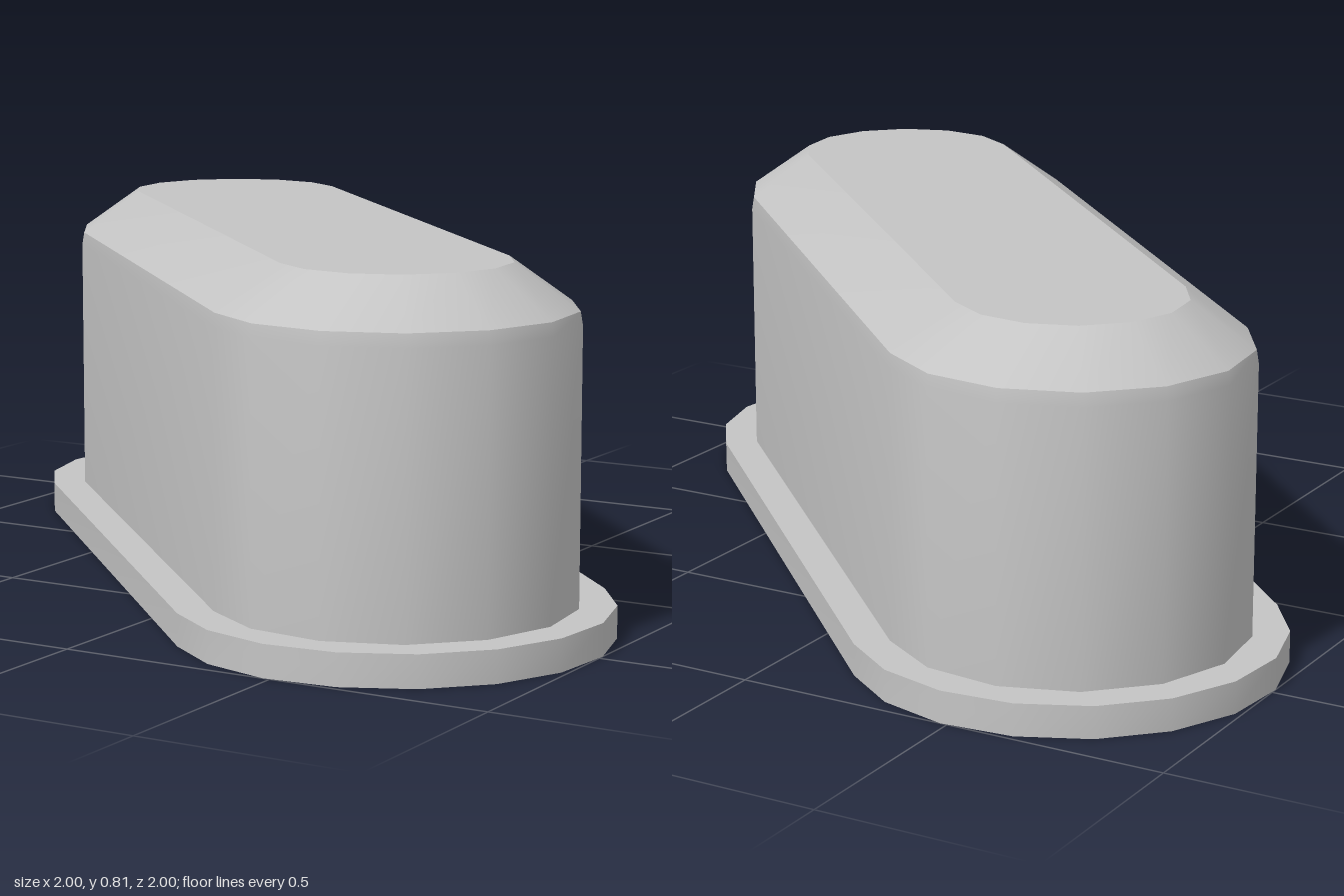
import * as THREE from 'three';
import { toCreasedNormals } from 'three/addons/utils/BufferGeometryUtils.js';

// Rounded-slot outline lying on the 45 degree diagonal of the xz plane.
function slotRing(radius, y, segments, centre) {
  const points = [];
  for (const side of [1, -1]) {
    const start = side > 0 ? -Math.PI / 4 : (3 * Math.PI) / 4;
    for (let i = 0; i <= segments; i++) {
      const a = start + (Math.PI * i) / segments;
      points.push(new THREE.Vector3(
        side * centre + radius * Math.cos(a), y, side * centre + radius * Math.sin(a)));
    }
  }
  return points;
}

// Closed solid through a stack of [radius, height] slot outlines.
function slotSolid(levels, segments, centre) {
  const rings = levels.map(([r, y]) => slotRing(r, y, segments, centre));
  const n = rings[0].length;
  const triangles = [];
  const middle = (y) => new THREE.Vector3(0, y, 0);
  for (let i = 0; i < n; i++) {
    const j = (i + 1) % n;
    for (let k = 0; k < rings.length - 1; k++) {
      const low = rings[k], high = rings[k + 1];
      triangles.push(low[i], high[i], low[j], low[j], high[i], high[j]);
    }
    const bottom = rings[0], top = rings[rings.length - 1];
    triangles.push(middle(top[0].y), top[j], top[i]);
    triangles.push(middle(bottom[0].y), bottom[i], bottom[j]);
  }
  const geometry = new THREE.BufferGeometry().setFromPoints(triangles);
  return toCreasedNormals(geometry, 0.5);
}

export function createModel() {
  const grey = new THREE.MeshStandardMaterial({ color: 0xc4c4c4 });
  grey.name = 'metal grey';
  const model = new THREE.Group();
  model.name = 'slottedCan';

  const add = (name, geometry) => {
    const mesh = new THREE.Mesh(geometry, grey);
    mesh.name = name;
    model.add(mesh);
  };

  // Thin flange at the foot
  add('baseFlange', slotSolid([[0.477, 0], [0.477, 0.072]], 9, 0.525));

  // Upright can with a slightly drawn-in shoulder and a bevelled lid
  add('canBody', slotSolid(
    [[0.398, 0.06], [0.398, 0.68], [0.393, 0.71], [0.252, 0.81]], 7, 0.525));

  return model;
}
